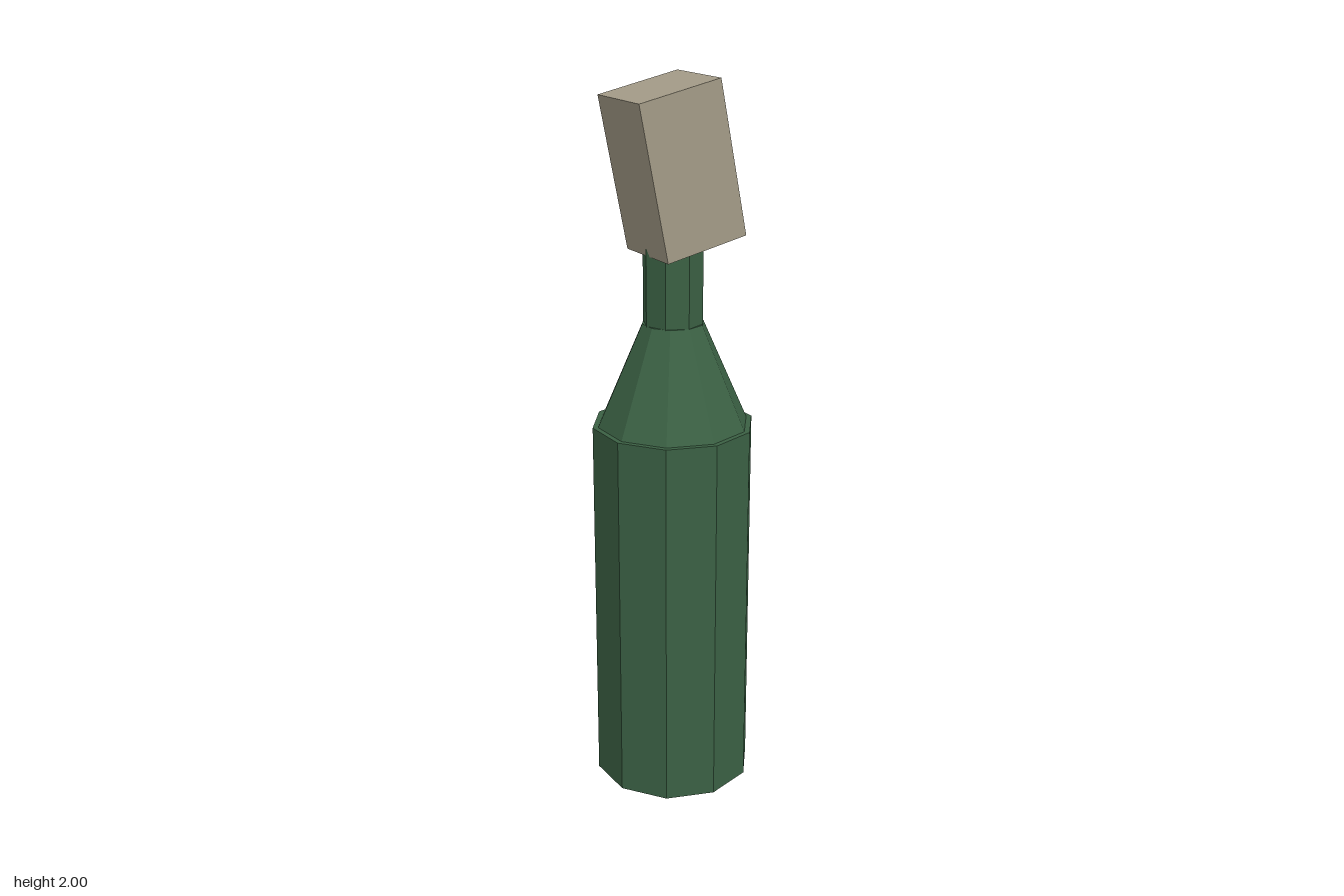
import * as THREE from 'three';

export function createModel() {
  const model = new THREE.Group();
  model.name = 'bottle';

  const green = new THREE.MeshStandardMaterial({ color: 0x3b6144, flatShading: true });
  green.name = 'bottle green';
  const tan = new THREE.MeshStandardMaterial({ color: 0xa39b87, flatShading: true });
  tan.name = 'rag tan';

  // Faceted round section standing between two heights
  function section(name, rTop, rBottom, y0, y1, sides) {
    const mesh = new THREE.Mesh(new THREE.CylinderGeometry(rTop, rBottom, y1 - y0, sides), green);
    mesh.name = name;
    mesh.position.y = (y0 + y1) / 2;
    model.add(mesh);
  }

  section('body', 0.225, 0.225, 0, 1.065, 10);
  section('shoulder', 0.085, 0.212, 1.06, 1.35, 10);
  section('neck', 0.083, 0.083, 1.33, 1.6, 8);

  // Tilted block stuffed into the neck
  const rag = new THREE.Mesh(new THREE.BoxGeometry(0.245, 0.42, 0.212), tan);
  rag.name = 'rag';
  rag.position.y = 1.77;
  rag.rotation.z = 0.2;
  model.add(rag);

  return model;
}
